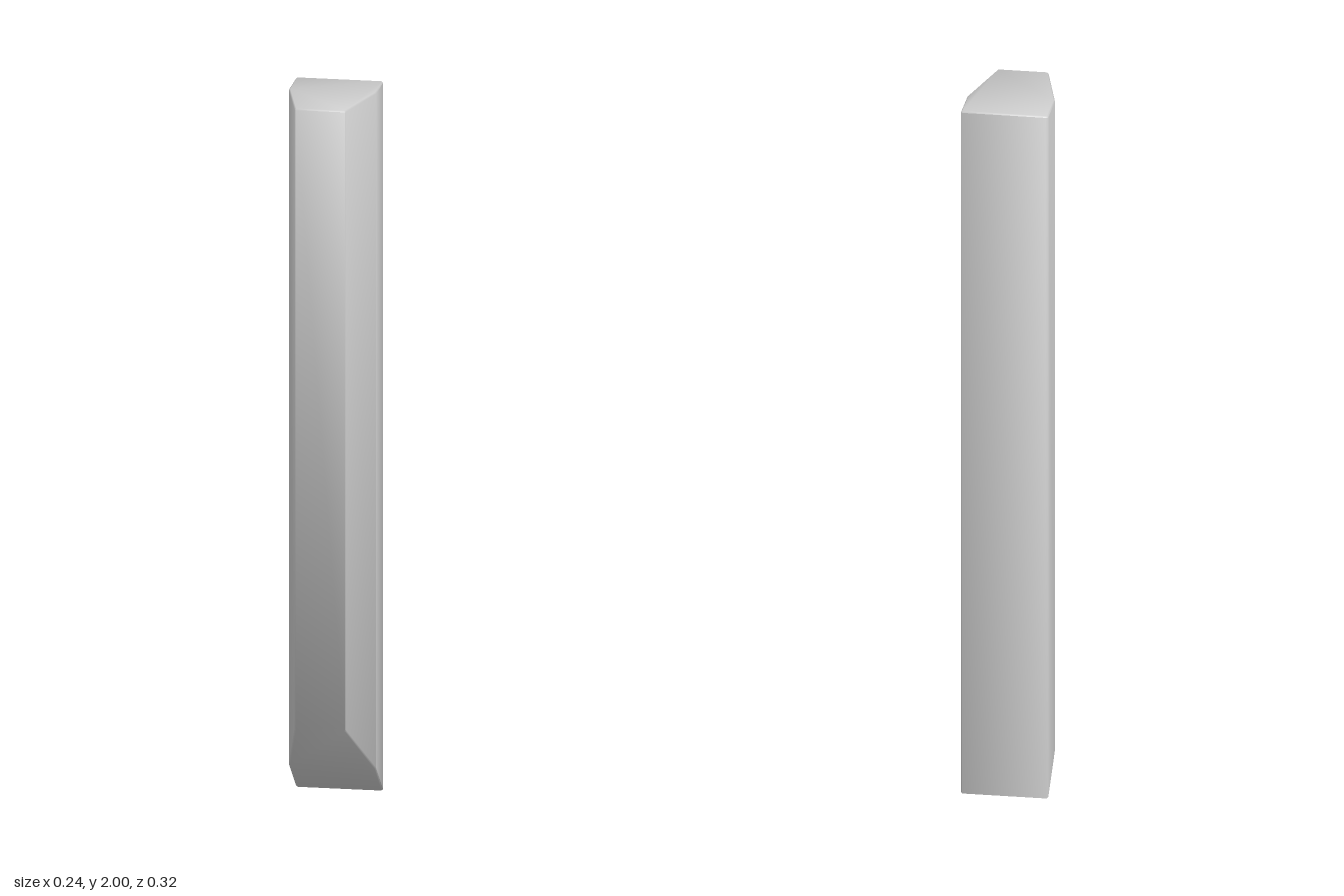
import * as THREE from 'three';
import { toCreasedNormals } from 'three/addons/utils/BufferGeometryUtils.js';

const HEIGHT = 2, BEVEL = 0.004, BACK = -0.16, FRONT = 0.16, SLANT = 0.255;

// Tapered cross-section (x, z) with tiny cut corners at front and back
function crossSection() {
  const half = [
    [0.12 - BEVEL, BACK], [0.12, BACK + BEVEL], [0.12, -0.04],
    [0.071, FRONT - BEVEL], [0.068, FRONT],
  ];
  const mirrored = half.map(([x, z]) => [-x, z]).reverse();
  return new THREE.Shape([...half, ...mirrored].map(([x, z]) => new THREE.Vector2(x, -z)));
}

export function createModel() {
  const group = new THREE.Group();
  group.name = 'slantedPost';

  // Upright post, extruded upward with fine bevelled rims
  const geometry = new THREE.ExtrudeGeometry(crossSection(), {
    depth: HEIGHT - 2 * BEVEL,
    bevelEnabled: true,
    bevelSegments: 1,
    bevelSize: BEVEL,
    bevelThickness: BEVEL,
    bevelOffset: -BEVEL,
  });
  geometry.rotateX(-Math.PI / 2);
  geometry.translate(0, BEVEL, 0);

  // Slanted foot: the lower end rises towards the front
  const p = geometry.attributes.position;
  for (let i = 0; i < p.count; i++) {
    if (p.getY(i) < HEIGHT / 2) {
      const t = (p.getZ(i) - BACK) / (FRONT - BACK);
      p.setY(i, p.getY(i) + SLANT * t);
    }
  }

  const post = new THREE.Mesh(
    toCreasedNormals(geometry, 0.9),
    new THREE.MeshStandardMaterial({ color: 0xcccccc })
  );
  post.name = 'post';
  group.add(post);
  return group;
}
